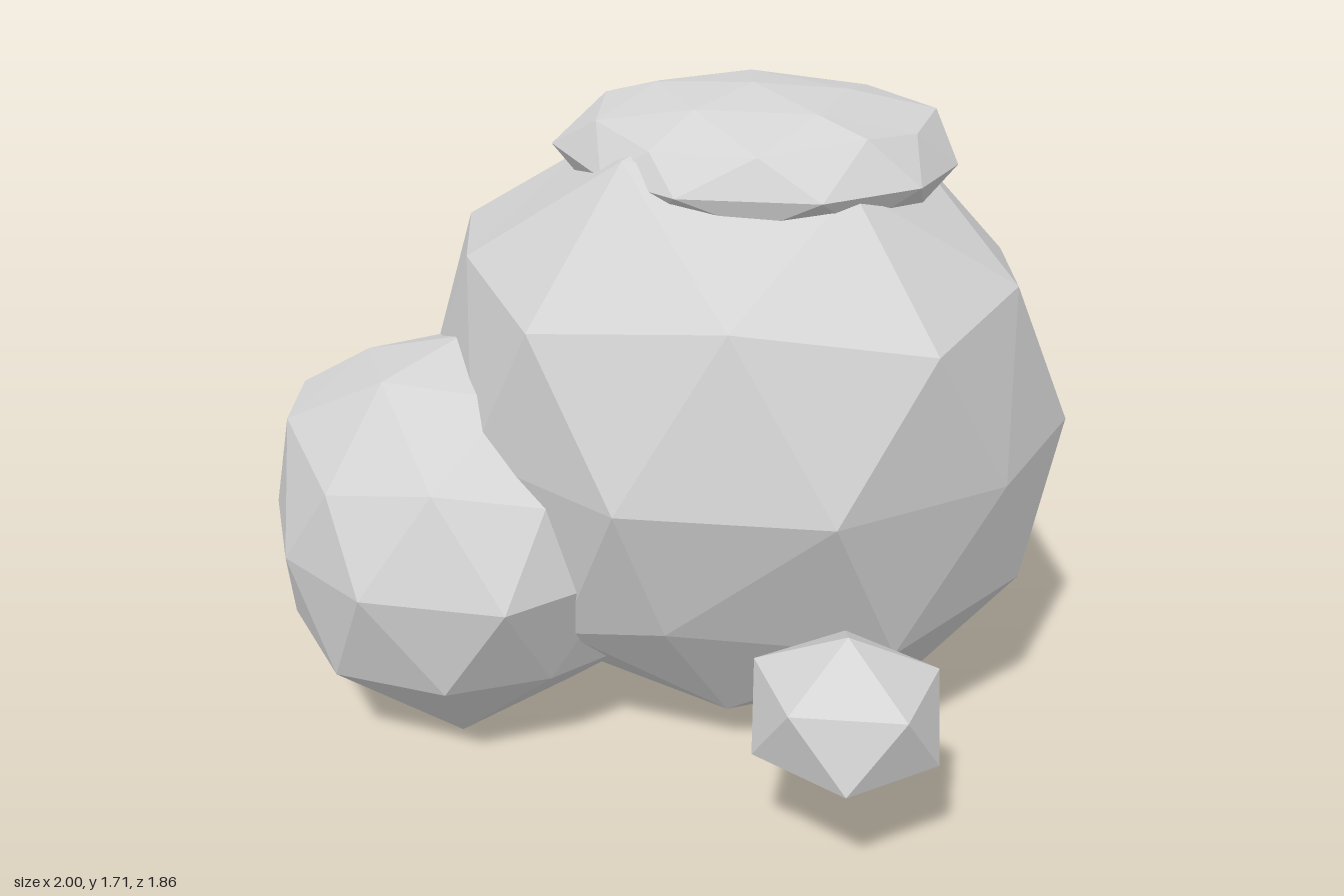
import * as THREE from 'three';
import { mergeVertices } from 'three/addons/utils/BufferGeometryUtils.js';

const stone = new THREE.MeshStandardMaterial({ color: 0xd4d4d4, flatShading: true });
stone.name = 'grey stone';

// A faceted boulder with a corner at the top; each nudge pulls the nearest corner to a point
function boulder(name, centre, radii, detail, nudges = []) {
  let g = new THREE.IcosahedronGeometry(1, detail);
  g.deleteAttribute('normal');
  g.deleteAttribute('uv');
  g = mergeVertices(g, 1e-3);
  g.rotateX(-Math.atan2((1 + Math.sqrt(5)) / 2, 1));
  g.scale(...radii);
  g.translate(...centre);
  const p = g.attributes.position;
  const v = new THREE.Vector3();
  for (const n of nudges) {
    const target = new THREE.Vector3(...n);
    let best = 0, bestDistance = Infinity;
    for (let i = 0; i < p.count; i++) {
      const d = v.fromBufferAttribute(p, i).distanceTo(target);
      if (d < bestDistance) { bestDistance = d; best = i; }
    }
    p.setXYZ(best, ...n);
  }
  g = g.toNonIndexed();
  g.computeVertexNormals();
  const mesh = new THREE.Mesh(g, stone);
  mesh.name = name;
  return mesh;
}

export function createModel() {
  const group = new THREE.Group();
  group.name = 'rockCluster';
  group.add(
    // Large central boulder
    boulder('mainBoulder', [0, 0.84, -0.155], [0.868, 0.84, 0.79], 1, [
      [0.04, 0, -0.15], [0.52, 0.12, -0.28], [-0.2, 0.1, 0.19], [0.04, 0.18, -0.53],
      [0, 1.585, 0.27], [-0.39, 1.49, 0], [0.48, 1.55, -0.01],
      [-0.02, 1.23, 0.59], [0.81, 1.23, 0.08], [-0.77, 1.25, 0.06], [0.74, 1.27, -0.36],
      [0.4, 0.85, -0.93], [-0.15, 0.85, -0.92], [0.77, 0.85, -0.59], [-0.66, 0.85, -0.66],
      [0.26, 0.84, 0.6], [-0.24, 0.84, 0.58], [0.29, 0.47, 0.45], [0.79, 0.48, -0.37],
    ]),
    // Flat slab resting on top
    boulder('capStone', [0.06, 1.535, -0.155], [0.52, 0.175, 0.44], 1, [
      [0.12, 1.64, -0.555], [0.38, 1.63, -0.5], [0.26, 1.51, -0.59], [0.1, 1.45, -0.59],
      [0.47, 1.65, -0.08], [-0.35, 1.64, -0.05], [-0.07, 1.53, 0.27], [0.18, 1.53, 0.285],
      [0.5, 1.52, -0.43], [-0.385, 1.53, 0.12],
    ]),
    // Boulder leaning at the front
    boulder('frontBoulder', [-0.46, 0.54, 0.4], [0.54, 0.52, 0.53], 1, [
      [-0.45, 1.02, 0.68], [-0.92, 0.86, 0.56], [-0.77, 0.85, 0.74], [0.02, 0.78, 0.58],
      [-0.64, 0.54, 0.88], [-0.3, 0.55, 0.925], [-0.91, 0.55, 0.69], [0.03, 0.55, 0.74],
      [0.12, 0.56, 0.42], [-0.91, 0.55, 0.01], [-0.48, 0.25, 0.87],
      [-0.92, 0.25, 0.27], [0.04, 0.28, 0.28], [-0.15, 0.28, 0.79],
      [-0.27, 0.055, 0.63], [-0.71, 0.08, 0.31], [-0.46, 0.06, 0.08],
    ]),
    // Low stone at the back
    boulder('backStone', [-0.52, 0.42, -0.58], [0.4, 0.28, 0.335], 1, [
      [-0.73, 0.42, -0.85], [-0.41, 0.42, -0.91], [-0.54, 0.58, -0.88],
    ]),
    // Small pebble at the side
    boulder('pebble', [0.77, 0.4, 0.345], [0.265, 0.2, 0.25], 0),
  );
  return group;
}
